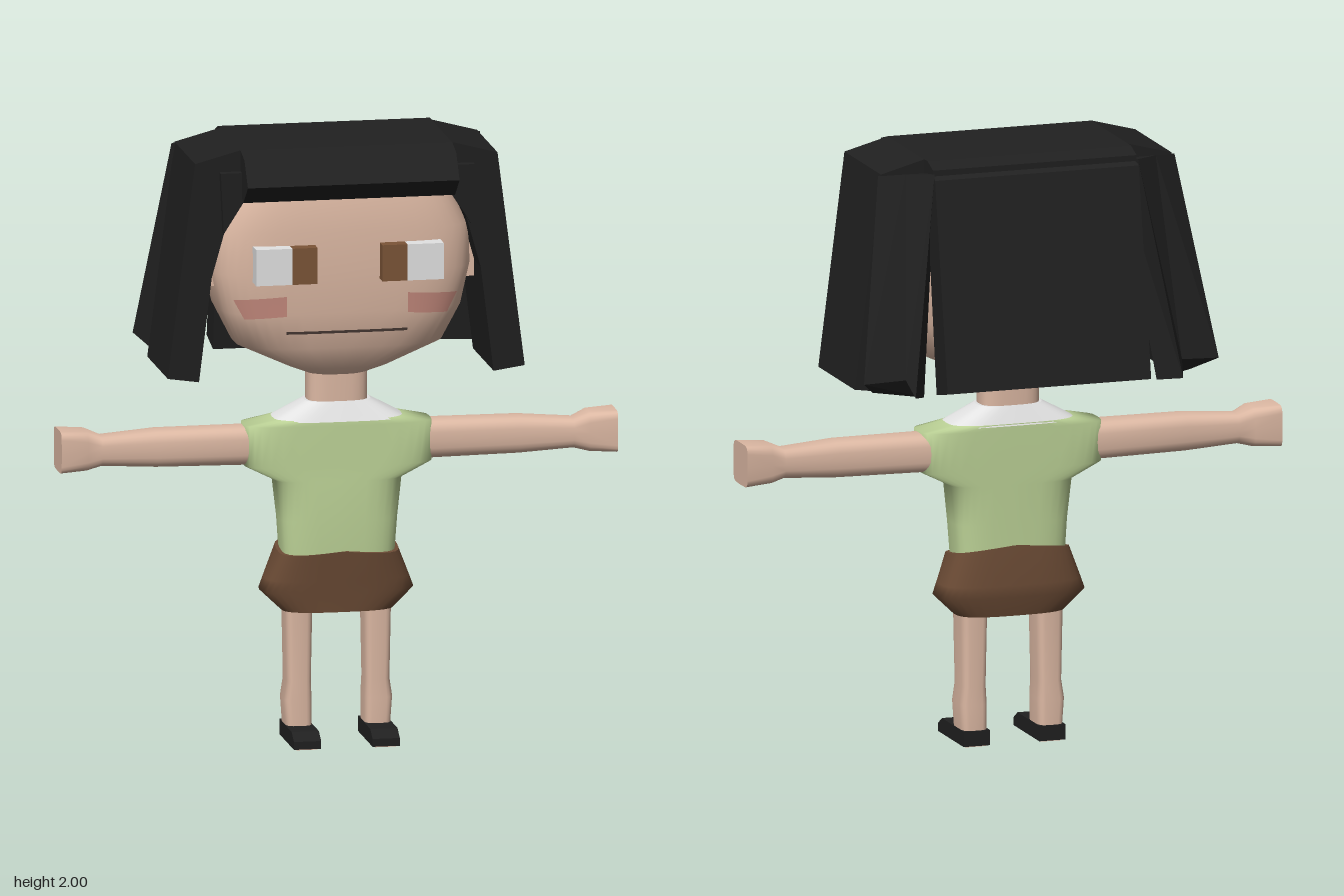
import * as THREE from 'three';

const mat = (name, color, side = THREE.FrontSide) =>
  Object.assign(new THREE.MeshStandardMaterial({ color, side }), { name });

// Superellipse cross-sections [y, cx, halfX, zBack, zFront, power] stacked along y, with end caps.
function loft(sections, seg = 24, bend = (p) => p) {
  const pos = [], idx = [];
  const ring = ([y, cx, hx, zb, zf, n]) => {
    for (let j = 0; j < seg; j++) {
      const t = (j / seg) * Math.PI * 2, c = Math.cos(t), s = Math.sin(t);
      const f = (v) => Math.sign(v) * Math.pow(Math.abs(v), 2 / n);
      pos.push(...bend([cx + hx * f(c), y, (zb + zf) / 2 + ((zf - zb) / 2) * f(s)]));
    }
  };
  sections.forEach(ring);
  for (let i = 0; i < sections.length - 1; i++)
    for (let j = 0; j < seg; j++) {
      const k = (j + 1) % seg, a = i * seg + j, b = a + seg, c = i * seg + k, d = c + seg;
      idx.push(a, b, c, b, d, c);
    }
  const bottom = sections.length * seg, top = bottom + seg;
  ring(sections[0]);
  ring(sections[sections.length - 1]);
  for (let j = 1; j < seg - 1; j++)
    idx.push(bottom, bottom + j, bottom + j + 1, top, top + j + 1, top + j);
  return build(pos, idx);
}

function build(pos, idx) {
  const g = new THREE.BufferGeometry();
  g.setAttribute('position', new THREE.Float32BufferAttribute(pos, 3));
  g.setIndex(idx);
  g.computeVertexNormals();
  return g;
}

// Faceted solid between two rings of points.
function prism(low, high) {
  const n = low.length, idx = [];
  for (let i = 0; i < n; i++) {
    const k = (i + 1) % n;
    idx.push(i, i + n, k, i + n, k + n, k);
  }
  for (let i = 0; i < n - 2; i++)
    idx.push(n - 1, i, i + 1, 2 * n - 1, n + i + 1, n + i);
  const g = build([...low, ...high].flat(), idx).toNonIndexed();
  g.computeVertexNormals();
  return g;
}

const extrude = (pts, depth) =>
  new THREE.ExtrudeGeometry(new THREE.Shape(pts.map((p) => new THREE.Vector2(...p))), { depth, bevelEnabled: false });

// Side profile given as [z, y], extruded across x.
const sideExtrude = (pts, half) =>
  extrude(pts.map(([z, y]) => [-z, y]), half * 2).rotateY(Math.PI / 2).translate(-half, 0, 0);

const box = (x0, x1, y0, y1, z0, z1) =>
  new THREE.BoxGeometry(x1 - x0, y1 - y0, z1 - z0).translate((x0 + x1) / 2, (y0 + y1) / 2, (z0 + z1) / 2);

function mirror(geo) {
  const g = geo.index ? geo.toNonIndexed() : geo.clone();
  for (const key of ['position', 'normal']) {
    const a = g.attributes[key];
    for (let i = 0; i < a.count; i++) a.setX(i, -a.getX(i));
    for (let i = 0; i < a.count; i += 3) {
      const p = [a.getX(i + 1), a.getY(i + 1), a.getZ(i + 1)];
      a.setXYZ(i + 1, a.getX(i + 2), a.getY(i + 2), a.getZ(i + 2));
      a.setXYZ(i + 2, ...p);
    }
  }
  return g;
}

const HEAD = [
  [1.22, 0, 0.1, -0.03, 0.12, 2.5], [1.25, 0, 0.17, -0.08, 0.17, 3],
  [1.33, 0, 0.34, -0.13, 0.225, 3.5], [1.45, 0, 0.4, -0.15, 0.245, 4],
  [1.58, 0, 0.43, -0.165, 0.25, 4], [1.72, 0, 0.425, -0.165, 0.25, 4],
  [1.84, 0, 0.36, -0.155, 0.235, 4], [1.95, 0, 0.3, -0.12, 0.2, 4],
];

// Depth of the face surface at x, y.
function faceZ(x, y) {
  const i = HEAD.findIndex((s) => s[0] > y), a = HEAD[i - 1], b = HEAD[i];
  const t = (y - a[0]) / (b[0] - a[0]);
  const [, , hx, zb, zf, n] = a.map((v, k) => v + (b[k] - v) * t);
  return (zb + zf) / 2 + ((zf - zb) / 2) * Math.pow(1 - Math.pow(Math.abs(x) / hx, n), 1 / n);
}

// Thin patch lying on the face, between a lower and an upper edge.
function facePatch([x0, y0], [x1, y1], [x2, y2], [x3, y3], seg = 10) {
  const pos = [], idx = [];
  for (let i = 0; i <= seg; i++) {
    const t = i / seg;
    for (const [x, y] of [[x0 + (x1 - x0) * t, y0 + (y1 - y0) * t], [x3 + (x2 - x3) * t, y3 + (y2 - y3) * t]])
      pos.push(x, y, faceZ(x, y) + 0.009);
    if (i < seg) idx.push(2 * i, 2 * i + 2, 2 * i + 1, 2 * i + 1, 2 * i + 2, 2 * i + 3);
  }
  return build(pos, idx);
}

export function createModel() {
  const model = new THREE.Group();
  const skin = mat('skin', 0xdcb8a3), hair = mat('black hair and shoes', 0x202020, THREE.DoubleSide);
  const green = mat('green cloth', 0xbdd397), brown = mat('brown cloth', 0x6b4b35);
  const white = mat('white', 0xe2e2e2), iris = mat('brown iris', 0x7b5437);
  const blush = mat('blush', 0xc68b7e, THREE.DoubleSide), dark = mat('mouth line', 0x4a3c36, THREE.DoubleSide);
  const add = (name, geo, m) => {
    const mesh = new THREE.Mesh(geo, m);
    mesh.name = name;
    model.add(mesh);
  };
  const pair = (name, geo, m) => {
    add(name + 'Left', geo, m);
    add(name + 'Right', mirror(geo), m);
  };

  // Head and face
  add('head', loft(HEAD, 40), skin);
  add('neck', loft([[1.08, 0, 0.1, -0.012, 0.117, 3], [1.26, 0, 0.1, -0.012, 0.117, 3]]), skin);
  pair('ear', box(0.4, 0.443, 1.53, 1.72, -0.01, 0.12), skin);
  pair('eyeWhite', box(0.19, 0.31, 1.56, 1.68, 0.2, 0.295), white);
  pair('eyeIris', box(0.107, 0.19, 1.56, 1.68, 0.2, 0.295), iris);
  pair('cheek', facePatch([0.2, 1.445], [0.335, 1.435], [0.37, 1.5], [0.2, 1.512]), blush);
  add('mouth', facePatch([-0.2, 1.383], [0.2, 1.383], [0.2, 1.392], [-0.2, 1.392], 16), dark);

  // Hair: fringe and crown, side curtains, back panel and split corner locks
  add('fringeAndCrown', sideExtrude([[0.23, 2], [0.3, 1.98], [0.36, 1.9], [0.28, 1.835], [0.23, 1.86],
    [-0.13, 1.86], [-0.215, 1.93], [-0.215, 1.98], [-0.16, 2]], 0.35), hair);
  const half = [[0.35, 2], [0.5, 1.96], [0.59, 1.25], [0.487, 1.235], [0.445, 1.58], [0.4, 1.74], [0.35, 1.86]];
  const arch = [...half, ...half.map(([x, y]) => [-x, y]).reverse()];
  add('sideHair', extrude(arch, 0.36).translate(0, 0, -0.13), hair);
  pair('templeTuft', extrude([[0.34, 1.93], [0.34, 1.84], [0.41, 1.73], [0.42, 1.93]], 0.03).translate(0, 0, 0.228), hair);
  add('backHair', sideExtrude([[-0.14, 1.97], [-0.17, 1.985], [-0.235, 1.95], [-0.36, 1.265], [-0.25, 1.24]], 0.35), hair);
  pair('cornerLock', prism(
    [[0.46, 1.26, -0.36], [0.475, 1.31, -0.305], [0.61, 1.3, -0.28], [0.55, 1.25, -0.19], [0.4, 1.24, -0.27]],
    [[0.35, 1.97, -0.23], [0.43, 1.965, -0.175], [0.51, 1.955, -0.13], [0.48, 1.95, -0.08], [0.31, 1.95, -0.12]]), hair);

  // Clothes
  add('shirt', loft([
    [0.6, 0, 0.185, -0.04, 0.155, 3.5], [0.74, 0, 0.195, -0.04, 0.16, 3.5], [0.87, 0, 0.21, -0.042, 0.155, 3.5],
    [0.92, 0, 0.31, -0.042, 0.152, 4], [1.055, 0, 0.31, -0.042, 0.15, 4], [1.075, 0, 0.21, -0.042, 0.148, 3.5],
  ], 32), green);
  add('collar', loft([[1.068, 0, 0.225, -0.044, 0.152, 3.5], [1.13, 0, 0.11, -0.016, 0.122, 3]], 32), white);
  const tilt = ([x, y, z]) => [x, y > 0.6 ? y - (z - 0.06) * 0.15 + (0.2 - Math.abs(x)) * 0.09 : y, z];
  add('skirt', loft([
    [0.435, 0, 0.185, -0.04, 0.145, 3], [0.5, 0, 0.253, -0.058, 0.15, 3],
    [0.54, 0, 0.238, -0.062, 0.155, 3], [0.637, 0, 0.2, -0.047, 0.164, 3.5],
  ], 32, tilt), brown);
  add('hips', box(-0.09, 0.09, 0.43, 0.5, -0.01, 0.11), skin);

  // Limbs
  pair('arm', loft([
    [0.27, -0.985, 0.065, -0.015, 0.112, 3], [0.6, -0.987, 0.062, -0.012, 0.11, 3],
    [0.78, -0.985, 0.05, 0, 0.1, 3], [0.83, -0.99, 0.066, -0.015, 0.115, 4], [0.92, -0.99, 0.07, -0.02, 0.12, 6],
  ]).rotateZ(-Math.PI / 2), skin);
  pair('leg', loft([
    [0.04, 0.13, 0.043, -0.012, 0.112, 4], [0.14, 0.133, 0.047, -0.014, 0.114, 4],
    [0.2, 0.13, 0.041, -0.01, 0.112, 4], [0.46, 0.13, 0.046, -0.014, 0.117, 4],
  ]), skin);
  pair('shoe', sideExtrude([[-0.015, 0.004], [-0.015, 0.055], [0.2, 0.055], [0.24, 0.03], [0.24, 0.004]], 0.045)
    .translate(0.13, 0, 0), hair);
  pair('sole', box(0.095, 0.165, 0, 0.006, -0.005, 0.23), skin);
  return model;
}
